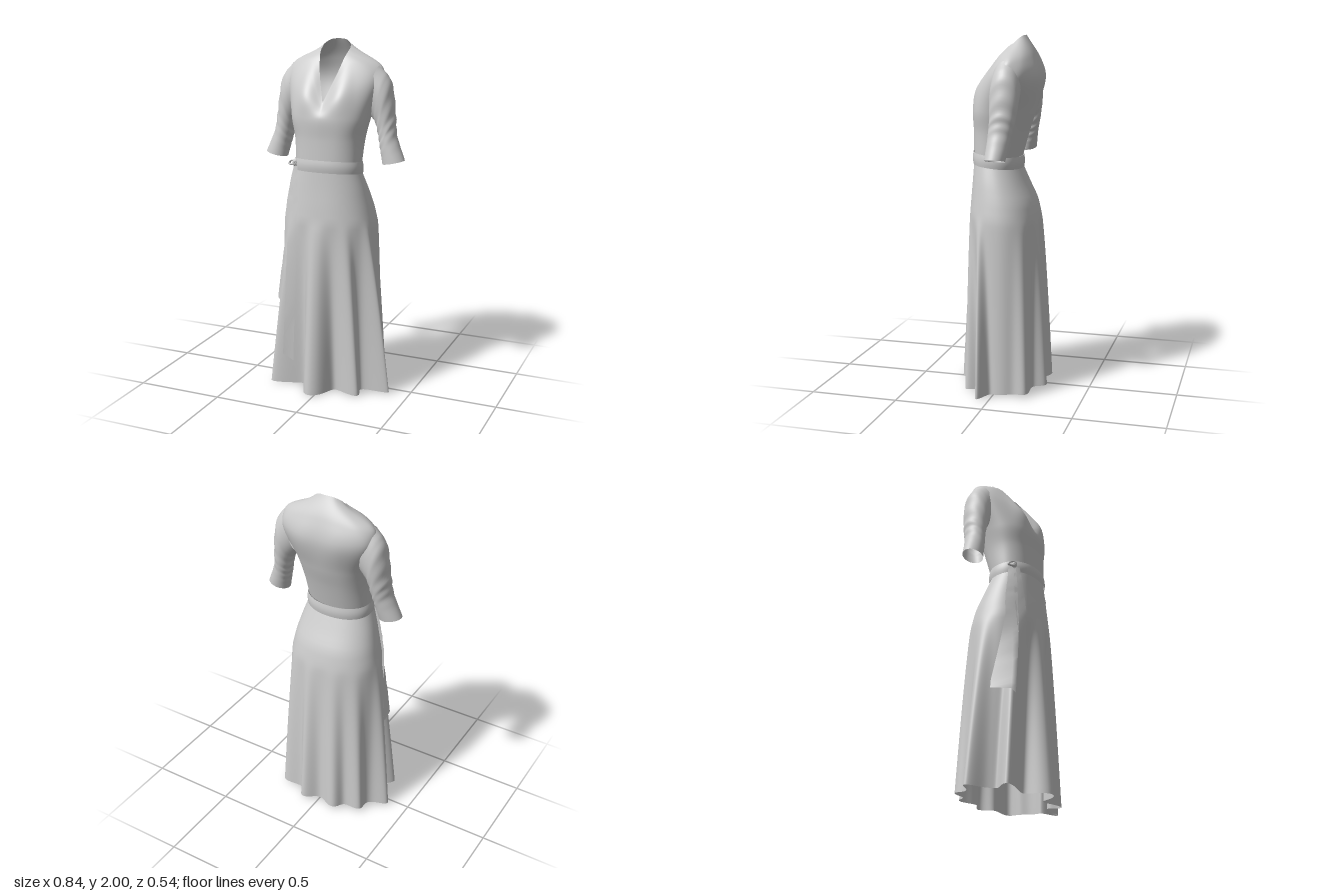
import * as THREE from 'three';

const fabric = new THREE.MeshStandardMaterial({ color: 0xcccccc, side: THREE.DoubleSide });
fabric.name = 'light grey fabric';
const V = (x, y, z) => new THREE.Vector3(x, y, z);
const TURN = Math.PI * 2;

// Smooth surface from a rule fn(u, v); u runs round the body, v upward
function surface(name, nu, nv, closed, fn) {
  const pos = [], idx = [], cols = closed ? nu : nu + 1;
  for (let j = 0; j <= nv; j++) {
    for (let i = 0; i < cols; i++) pos.push(...fn(i / nu, j / nv).toArray());
  }
  for (let j = 0; j < nv; j++) {
    for (let i = 0; i < nu; i++) {
      const a = j * cols + i, b = j * cols + (i + 1) % cols;
      idx.push(a, b, b + cols, a, b + cols, a + cols);
    }
  }
  const g = new THREE.BufferGeometry();
  g.setAttribute('position', new THREE.Float32BufferAttribute(pos, 3));
  g.setIndex(idx);
  g.computeVertexNormals();
  const mesh = new THREE.Mesh(g, fabric);
  mesh.name = name;
  return mesh;
}

// Rounded body section at height y; angle 0 is the front, +90 degrees is +x
function oval(a, y, w, front, back, power = 2.2) {
  const s = Math.sin(a), c = Math.cos(a), e = 2 / power;
  return V(w * Math.sign(s) * Math.abs(s) ** e, y,
    (front + back) / 2 + (front - back) / 2 * Math.sign(c) * Math.abs(c) ** e);
}

// Bodice: oval sections up to the bust, then half rings from front to back
const chest = [[0, 1.63, .155], [.1, 1.7, .145], [.175, 1.74, .085], [.245, 1.78, .015],
  [.28, 1.79, -.06], [.25, 1.78, -.145], [.125, 1.77, -.2], [0, 1.77, -.205]];
const yoke = [[0, 1.65, .142], [.072, 1.78, .088], [.125, 1.875, .015], [.21, 1.87, -.02],
  [.265, 1.86, -.08], [.21, 1.867, -.14], [.105, 1.88, -.17], [0, 1.89, -.175]];
const neck = [[0, 1.67, .13], [.048, 1.81, .055], [.072, 1.9, 0], [.082, 1.94, -.04],
  [.083, 1.955, -.065], [.076, 1.975, -.085], [.045, 1.995, -.107], [0, 2, -.116]];
const meridians = neck.map((top, i) => {
  const a = i / 7 * Math.PI, waist = oval(a, 1.35, .19, .172, -.09);
  waist.y -= (.172 - waist.z) * .09;
  return new THREE.CatmullRomCurve3([waist, oval(a, 1.47, .2, .172, -.13, 2.3),
    oval(a, 1.59, .226, .175, -.167, 2.3), V(...chest[i]), V(...yoke[i]), V(...top)]);
});

function bodicePoint(u, v) {
  const p = meridians.map(m => m.getPoint(v));
  const flip = q => V(-q.x, q.y, q.z);
  // The front stays round at the waist and turns into a sharp V at the neck
  const before = flip(p[1]).lerp(p[0].clone().multiplyScalar(2).sub(p[1]), v * v);
  const ring = new THREE.CatmullRomCurve3([before, ...p, flip(p[6])], false, 'catmullrom');
  const half = u <= .5 ? u * 2 : 2 - u * 2;
  const q = ring.getPoint((1 + half * 7) / 9);
  return u <= .5 ? q : flip(q);
}

// Sleeves: ellipses between an outer line, an inner line and a depth line
const curve = points => new THREE.CatmullRomCurve3(points.map(p => V(...p)));
const outer = curve([[.255, 1.865, 0], [.318, 1.79, 0], [.352, 1.6, 0], [.366, 1.49, 0], [.42, 1.352, 0]]);
const inner = curve([[.2, 1.6, 0], [.24, 1.55, 0], [.262, 1.47, 0], [.278, 1.4, 0], [.294, 1.325, 0]]);
const depth = curve([[0, -.065, .08], [0, -.066, .08], [0, -.06, .069], [0, -.048, .062], [0, -.035, .056]]);
function sleevePoint(u, v, side) {
  const t = 1 - v, a = u * TURN * side, d = depth.getPoint(t);
  const p = inner.getPoint(t).lerp(outer.getPoint(t), .5 + .5 * Math.sin(a));
  const crease = .0035 * Math.sin(t * 45 + a) * Math.max(0, Math.sin(t * Math.PI) - .3);
  return V(side * (p.x + crease), p.y, d.y + d.z * Math.cos(a));
}

// Hem: an oval pushed out by deep folds, each with angle, reach and spread
const folds = [[-.05, .93, .17], [.5, .5, .17], [1.1, .43, .14], [2.35, .22, .22],
  [2.94, .32, .15], [-2.86, .28, .18], [-2.35, .2, .2], [-1.57, .28, .2], [-.66, .65, .18]];
function hemPoint(a) {
  let reach = 1;
  for (const [at, h, spread] of folds) {
    const d = Math.atan2(Math.sin(a - at), Math.cos(a - at)) / spread;
    reach += h * Math.exp(-d * d);
  }
  return oval(a, 0, .3, .14, -.205, 2.1).multiplyScalar(reach);
}

// Skirt: hip sections (half width, front z, back z) flowing into the hem
const hips = curve([[.19, .172, -.088], [.222, .178, -.132], [.248, .186, -.178], [.268, .193, -.2]]);
function skirtPoint(u, y) {
  const a = u * TURN, h = hemPoint(a);
  const size = hips.getPoint(THREE.MathUtils.clamp((1.3 - y) / .3, 0, 1));
  const p = oval(a, y, size.x, size.y, size.z);
  if (y < 1) p.lerp(h, (1 - y) ** .78);
  const low = 1 - y / 1.3;
  p.y = y + low * (.01 - .04 * h.z) - (1 - low) * (.172 - p.z) * .1;
  return p;
}

// Front of the skirt at x, used to lay the sash tails on it
function skirtFront(x, y) {
  let best = .04;
  for (let i = 0; i < 240; i++) {
    const p = skirtPoint(i / 240, y);
    if (Math.abs(p.x - x) < .012) best = Math.max(best, p.z);
  }
  return best;
}
function sashTail(name, path, width) {
  const line = curve(path);
  return surface(name, 2, 24, false, (u, v) => {
    const c = line.getPoint(1 - v), s = u * 2 - 1;
    const x = c.x + s * width / 2 * (.45 + .55 * Math.min(1, (1 - v) * 3));
    return V(x, c.y - (v === 0 ? s * .02 : 0), skirtFront(x, c.y) + .008);
  });
}

export function createModel() {
  const dress = new THREE.Group();
  dress.name = 'wrapDress';
  dress.add(surface('bodice', 112, 48, true, bodicePoint));
  for (const side of [1, -1]) {
    dress.add(surface(side > 0 ? 'leftSleeve' : 'rightSleeve', 40, 44, true, (u, v) => sleevePoint(u, v, side)));
  }
  dress.add(surface('skirt', 320, 40, true, (u, v) => skirtPoint(u, v * 1.3)));

  // Waistband, slightly lower at the back
  dress.add(surface('waistband', 96, 6, true, (u, v) => {
    const bulge = .004 * Math.sin(v * Math.PI);
    const p = oval(u * TURN, 0, .196 - .003 * v + bulge, .176 + bulge, -.096 - bulge);
    p.y = 1.29 + .068 * v - (.176 - p.z) * .11;
    return p;
  }));

  // Sash knot, bow loops and hanging tails on the model's right
  const bow = new THREE.Group();
  bow.name = 'sashBow';
  const knot = new THREE.Mesh(new THREE.SphereGeometry(.02, 20, 14), fabric);
  knot.name = 'knot';
  knot.scale.set(.9, 1.1, .8);
  bow.add(knot);
  for (const [x, tilt] of [[-.02, .35], [.032, .3]]) {
    const loop = new THREE.Mesh(new THREE.TorusGeometry(.02, .007, 10, 24), fabric);
    loop.name = 'bowLoop';
    loop.scale.set(1.2, .55, 1);
    loop.position.x = x;
    loop.rotation.set(0, -.5, tilt);
    bow.add(loop);
  }
  bow.position.set(-.17, 1.325, .122);
  dress.add(bow);
  dress.add(sashTail('longSashTail', [[-.16, 1.31, 0], [-.165, 1.1, 0], [-.18, .7, 0], [-.205, .17, 0]], .06));
  dress.add(sashTail('shortSashTail', [[-.178, 1.31, 0], [-.205, 1.1, 0], [-.235, .8, 0], [-.268, .53, 0]], .055));
  return dress;
}
